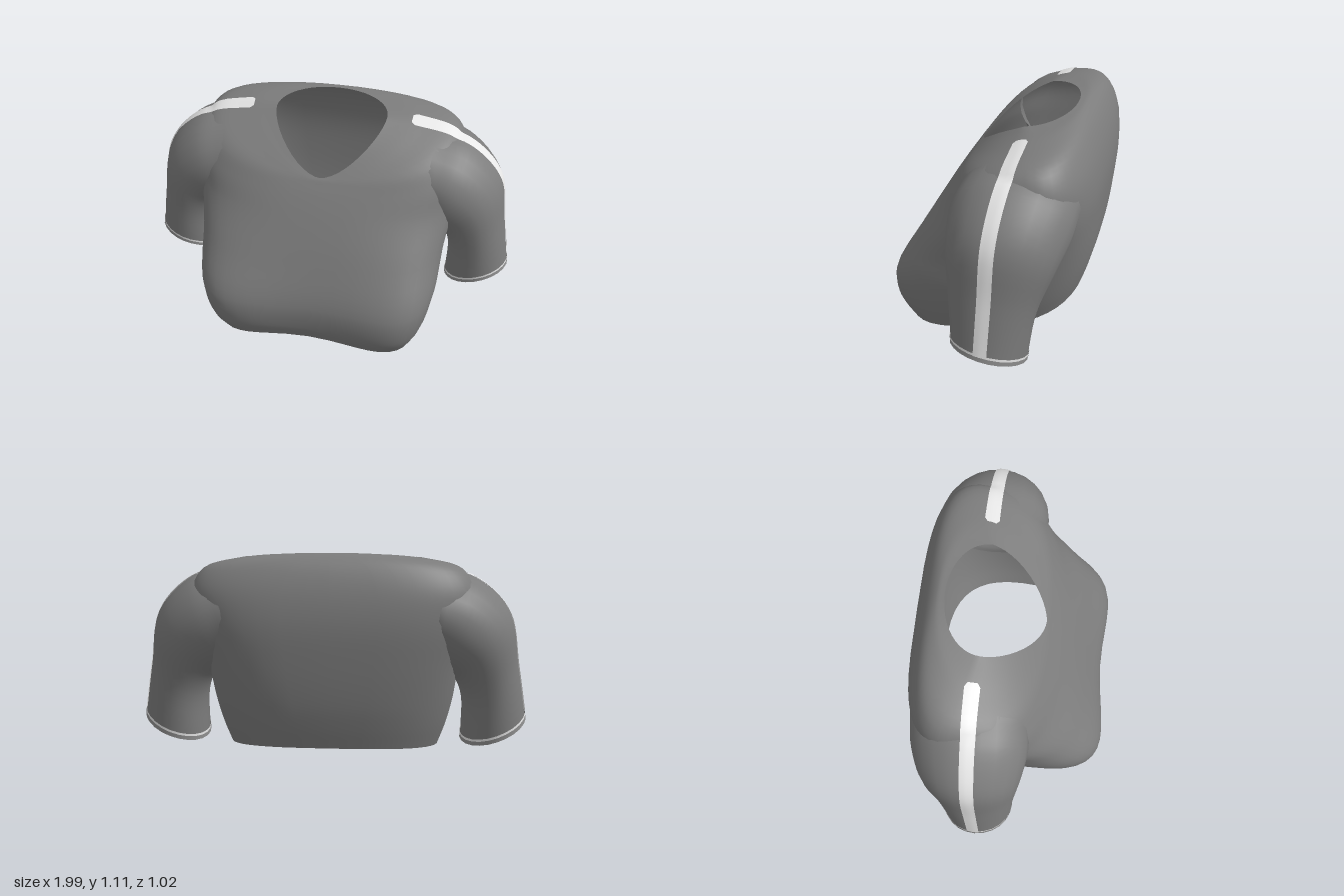
import * as THREE from 'three';

const mat = (name, color) => {
  const m = new THREE.MeshStandardMaterial({ color, side: THREE.DoubleSide });
  m.name = name;
  return m;
};

// Skin rows of points into a smooth surface; closed rows wrap around
function skin(rows, closed) {
  const n = rows[0].length, index = [];
  for (let r = 0; r < rows.length - 1; r++) {
    for (let i = 0; i < (closed ? n : n - 1); i++) {
      const a = r * n + i, b = r * n + (i + 1) % n;
      index.push(a, b, a + n, b, b + n, a + n);
    }
  }
  const g = new THREE.BufferGeometry().setFromPoints(rows.flat());
  g.setIndex(index);
  g.computeVertexNormals();
  return g;
}

// Smoothly interpolate extra rows between control rows
function refine(rows, steps) {
  const curves = rows[0].map((_, i) => new THREE.CatmullRomCurve3(rows.map(r => r[i])));
  return Array.from({ length: steps + 1 }, (_, k) => curves.map(c => c.getPoint(k / steps)));
}

const signedPow = (v, e) => Math.sign(v) * Math.pow(Math.abs(v), e);

// Torso loop: front, side and back anchors joined by a rounded outline
function torsoRing([fy, fz, w, sy, sz, by, bz, frontE, backE, lobe, drop]) {
  return Array.from({ length: 48 }, (_, i) => {
    const t = i / 48 * Math.PI * 2, front = Math.cos(t) > 0;
    const e = front ? frontE : backE;
    const s = signedPow(Math.sin(t), e), k = Math.pow(Math.abs(Math.cos(t)), e);
    const bump = front ? s * s * k : 0;
    return new THREE.Vector3(
      w * s,
      sy + ((front ? fy : by) - sy) * k - drop * bump,
      sz + ((front ? fz : bz) - sz) * k + lobe * bump);
  });
}

// Sleeve loop between an outer and an inner point, with its own depth;
// tilt lifts the front edge and lowers the back edge
function sleeveRing([ox, oy, ix, iy, zc, rz, tilt], grow = 0) {
  return Array.from({ length: 24 }, (_, i) => {
    const t = i / 24 * Math.PI * 2, c = Math.cos(t) * (0.5 + grow * 3);
    return new THREE.Vector3(
      (ox + ix) / 2 + (ox - ix) * c,
      (oy + iy) / 2 + (oy - iy) * c - tilt * Math.sin(t),
      zc - (rz + grow) * Math.sin(t));
  });
}

export function createModel() {
  const cloth = mat('grey cloth', 0x7c7c7c);
  const trim = mat('pale trim', 0xf0f0f0);
  const cuffTone = mat('cuff grey', 0x909090);
  const liningTone = mat('lining grey', 0xb0b0b0);
  const shirt = new THREE.Group();
  shirt.name = 'croppedShirt';
  const add = (parent, name, geometry, material) => {
    const m = new THREE.Mesh(geometry, material);
    m.name = name;
    parent.add(m);
    return m;
  };

  // Torso from hem to neckline: front y z, half width, side y z, back y z,
  // front and back roundness, bust lobes, drop of the front corners
  const torso = [
    [0.06, 0.45, 0.56, 0.04, 0.12, 0.17, -0.44, 0.78, 0.66, 0.12, 0.11],
    [0.14, 0.47, 0.60, 0.17, 0.12, 0.28, -0.47, 0.78, 0.64, 0.20, 0.05],
    [0.28, 0.465, 0.63, 0.33, 0.10, 0.40, -0.495, 0.78, 0.62, 0.21, 0.01],
    [0.50, 0.37, 0.645, 0.53, 0.00, 0.60, -0.515, 0.78, 0.56, 0.11, 0],
    [0.70, 0.26, 0.68, 0.72, -0.10, 0.80, -0.518, 0.78, 0.54, 0.02, 0],
    [0.80, 0.195, 0.70, 0.90, -0.16, 0.95, -0.49, 0.78, 0.56, 0, -0.03],
    [0.84, 0.165, 0.64, 1.02, -0.18, 1.06, -0.44, 0.84, 0.64, 0, -0.08],
    [0.86, 0.15, 0.46, 1.07, -0.18, 1.11, -0.385, 1.00, 0.85, 0, -0.09],
    [0.87, 0.14, 0.285, 1.085, -0.15, 1.115, -0.345, 1.20, 0.98, 0, -0.08],
  ].map(torsoRing);
  const body = add(shirt, 'torso', skin(refine(torso, 40), true), cloth);

  // Sleeve stations: outer x y, inner x y, depth centre, half depth, tilt
  const stations = [
    [0.54, 1.03, 0.48, 0.62, -0.19, 0.285, 0],
    [0.71, 0.985, 0.54, 0.54, -0.18, 0.285, 0],
    [0.88, 0.82, 0.62, 0.47, -0.17, 0.25, 0],
    [0.94, 0.55, 0.66, 0.37, -0.15, 0.205, 0.015],
    [0.992, 0.27, 0.665, 0.145, -0.14, 0.178, 0.03],
  ];
  const sleeveRows = refine(stations.map(s => sleeveRing(s)), 20);
  const arm = new THREE.Mesh(skin(sleeveRows, true), cloth);
  const hem = stations[4];
  const aboveHem = [0.988, 0.292, 0.665, 0.165, -0.141, 0.180, 0.029];
  const edge = [0.986, 0.304, 0.665, 0.177, -0.141, 0.181, 0.029];
  const inner = [0.965, 0.26, 0.692, 0.158, -0.14, 0.153, 0.028];
  const deep = [0.90, 0.55, 0.71, 0.43, -0.15, 0.16, 0.015];

  // Shoulder stripe: a thin strip laid onto the cloth along the outer ridge
  const ridge = new THREE.CatmullRomCurve3([
    [0.41, 1.08, -0.17], [0.55, 1.05, -0.17], [0.71, 0.985, -0.167],
    [0.88, 0.82, -0.161], [0.94, 0.55, -0.156], [0.988, 0.295, -0.148],
  ].map(p => new THREE.Vector3(...p)));
  const ray = new THREE.Raycaster();
  const stripe = Array.from({ length: 37 }, (_, k) => {
    const p = ridge.getPoint(k / 36), d = ridge.getTangent(k / 36);
    const out = new THREE.Vector3(-d.y, d.x, 0).normalize();
    const half = k === 0 ? 0.022 : 0.036 - 0.005 * k / 36;
    return [1, 0.5, 0, -0.5, -1].map(f => {
      const start = new THREE.Vector3(p.x, p.y, p.z + f * half).addScaledVector(out, 0.2);
      ray.set(start, out.clone().negate());
      const hit = ray.intersectObjects([body, arm])[0];
      return start.addScaledVector(out, 0.006 - (hit ? hit.distance : 0.2));
    });
  });

  // Both sides, the right one mirrored
  for (const side of [1, -1]) {
    const sleeve = new THREE.Group();
    sleeve.name = side > 0 ? 'leftSleeve' : 'rightSleeve';
    const place = (rows, closed = true) => skin(rows.map(r => {
      const q = r.map(p => new THREE.Vector3(p.x * side, p.y, p.z));
      return side > 0 ? q : q.reverse();
    }), closed);
    add(sleeve, 'sleeveCloth', place(sleeveRows), cloth);
    add(sleeve, 'cuffLine', place([sleeveRing(edge, 0.004), sleeveRing(aboveHem, 0.004)]), trim);
    add(sleeve, 'cuffBand', place([sleeveRing(aboveHem, 0.004), sleeveRing(hem, 0.004)]), cuffTone);
    add(sleeve, 'cuffRim', place([sleeveRing(hem, 0.004), sleeveRing(inner)]), cloth);
    add(sleeve, 'sleeveLining', place([sleeveRing(inner), sleeveRing(deep)]), liningTone);
    add(sleeve, 'shoulderStripe', place(stripe, false), trim);
    shirt.add(sleeve);
  }
  return shirt;
}
